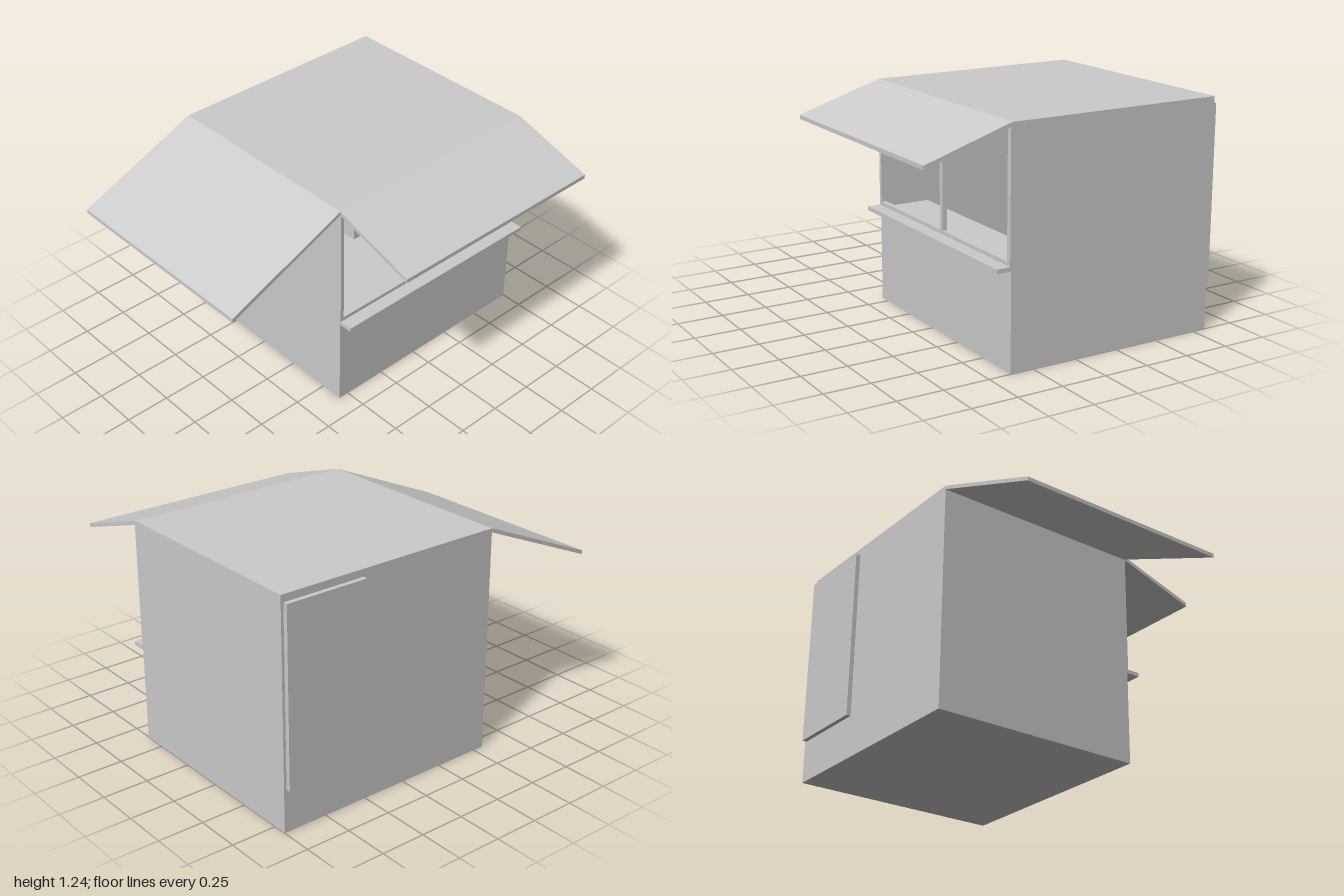
import * as THREE from 'three';

const material = new THREE.MeshStandardMaterial({ color: 0xcccccc, flatShading: true });

export function createModel() {
  const group = new THREE.Group();

  // Box given by its extents on each axis
  const box = (name, [x0, x1], [y0, y1], [z0, z1]) => {
    const mesh = new THREE.Mesh(new THREE.BoxGeometry(x1 - x0, y1 - y0, z1 - z0), material);
    mesh.position.set((x0 + x1) / 2, (y0 + y1) / 2, (z0 + z1) / 2);
    mesh.name = name;
    group.add(mesh);
    return mesh;
  };

  // Sloping slab: runs outward along local x, extruded along local z
  const awning = (name, run, drop, width, thickness = 0.022) => {
    const shape = new THREE.Shape([
      new THREE.Vector2(0, 0),
      new THREE.Vector2(0, -thickness),
      new THREE.Vector2(run, -drop - thickness),
      new THREE.Vector2(run, -drop),
    ]);
    const geometry = new THREE.ExtrudeGeometry(shape, { depth: width, bevelEnabled: false });
    const mesh = new THREE.Mesh(geometry, material);
    mesh.name = name;
    group.add(mesh);
    return mesh;
  };

  const left = -0.825, right = 0.38, back = -1, front = 0.31, top = 1.235;
  const floorY = 0.23, sillY = 0.54;

  // Raised floor and flat roof
  box('floorBase', [left, right], [0, floorY], [back, front]);
  box('roof', [left, right], [top - 0.02, top], [back, front]);

  // Walls
  box('frontWall', [left, right], [floorY, top - 0.02], [front - 0.02, front]);
  box('backWall', [left, right], [floorY, top - 0.02], [back, back + 0.02]);
  box('doorWall', [left, left + 0.02], [floorY, top - 0.02], [back + 0.02, front - 0.02]);
  box('servingWall', [right - 0.02, right], [floorY, 0.52], [back + 0.02, front - 0.02]);

  // Window frame on the serving side
  const frameX = [right - 0.02, right + 0.006];
  box('windowSill', frameX, [0.52, 0.56], [back, front]);
  box('windowHead', frameX, [top - 0.025, top - 0.002], [back, front]);
  for (const [z0, z1] of [[back, -0.972], [-0.37, -0.343], [0.289, front]]) {
    box('windowPost', frameX, [0.56, top - 0.025], [z0, z1]);
  }

  // Serving shelf outside and counter inside
  box('servingShelf', [right, 0.46], [0.518, sillY], [back, front]);
  box('counter', [0.1, right - 0.02], [0.49, 0.53], [back + 0.02, front - 0.02]);

  // Closed entry corner behind the door
  box('entryPartition', [left + 0.02, -0.39], [floorY, top - 0.02], [back + 0.02, -0.51]);

  // Door
  box('door', [-0.85, left], [0.235, 1.195], [-0.985, -0.52]);

  // Awnings
  const side = awning('sideAwning', 0.467, 0.147, front - back);
  side.position.set(right, top, back);
  const face = awning('frontAwning', 0.69, 0.29, right - left);
  face.rotation.y = -Math.PI / 2;
  face.position.set(right, top, front);

  return group;
}
